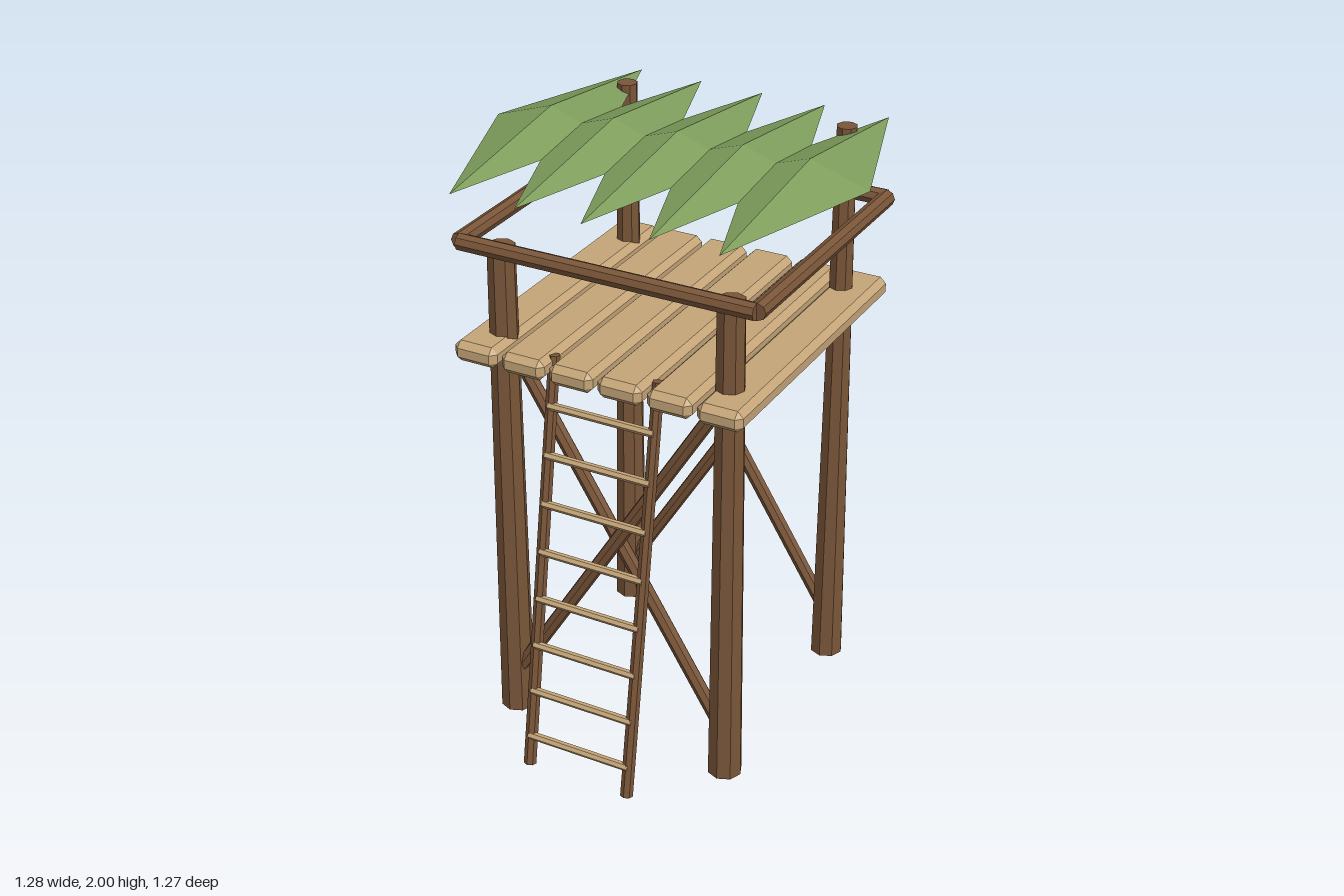
import * as THREE from 'three';
import { ConvexGeometry } from 'three/addons/geometries/ConvexGeometry.js';

const mat = (name, color, extra = {}) =>
  new THREE.MeshStandardMaterial({ name, color, flatShading: true, ...extra });

// Tapered pole between two points
function pole(name, a, b, r0, r1, sides, material) {
  const from = new THREE.Vector3(...a), to = new THREE.Vector3(...b);
  const dir = to.clone().sub(from);
  const mesh = new THREE.Mesh(new THREE.CylinderGeometry(r1, r0, dir.length(), sides), material);
  mesh.position.copy(from).add(to).multiplyScalar(0.5);
  mesh.quaternion.setFromUnitVectors(new THREE.Vector3(0, 1, 0), dir.normalize());
  mesh.name = name;
  return mesh;
}

// Box with every edge cut at 45 degrees
function chamferBox(w, h, d, c) {
  const pts = [];
  const x = w / 2, y = h / 2, z = d / 2;
  for (const i of [-1, 1]) for (const j of [-1, 1]) for (const k of [-1, 1]) {
    pts.push(
      new THREE.Vector3(i * x, j * (y - c), k * (z - c)),
      new THREE.Vector3(i * (x - c), j * y, k * (z - c)),
      new THREE.Vector3(i * (x - c), j * (y - c), k * z));
  }
  return new ConvexGeometry(pts);
}

// Folded diamond leaf: a shallow four-sided peak, open below
function leafGeometry() {
  const top = [0, 2, 0];
  const rim = [[0, 1.925, 0.583], [0.195, 1.935, 0], [0, 1.925, -0.583], [-0.195, 1.935, 0]];
  const verts = rim.flatMap((p, i) => [...top, ...p, ...rim[(i + 1) % 4]]);
  const geo = new THREE.BufferGeometry();
  geo.setAttribute('position', new THREE.Float32BufferAttribute(verts, 3));
  geo.computeVertexNormals();
  return geo;
}

export function createModel() {
  const model = new THREE.Group();
  model.name = 'watchtower';
  const wood = mat('dark wood', 0x7a5639);
  const plankWood = mat('pale wood', 0xc6a679);
  const leafGreen = mat('leaf green', 0x7f9f5d, { side: THREE.DoubleSide });

  // Posts: the back pair is taller and carries the roof
  for (const s of [-1, 1]) {
    model.add(pole('frontPost', [s * 0.392, 0, 0.342], [s * 0.392, 1.7, 0.342], 0.057, 0.045, 8, wood));
    model.add(pole('backPost', [s * 0.39, 0, -0.44], [s * 0.39, 1.957, -0.44], 0.056, 0.034, 8, wood));
  }

  // Crossed braces on the front and back
  for (const z of [0.342, -0.44]) for (const s of [-1, 1]) {
    model.add(pole('brace', [-s * 0.385, 0.135, z + s * 0.012], [s * 0.37, 1.355, z + s * 0.012], 0.024, 0.024, 7, wood));
  }

  // Deck planks
  const plank = chamferBox(0.152, 0.07, 1.06, 0.02);
  for (let i = 0; i < 6; i++) {
    const mesh = new THREE.Mesh(plank, plankWood);
    mesh.position.set((i - 2.5) * 0.168, 1.373, -0.05);
    mesh.name = 'deckPlank';
    model.add(mesh);
  }

  // Guard rails around the deck
  const y = 1.71;
  for (const z of [0.402, -0.512]) {
    model.add(pole('guardRail', [-0.502, y, z], [0.502, y, z], 0.028, 0.028, 8, wood));
  }
  for (const s of [-1, 1]) {
    model.add(pole('sideRail', [s * 0.504, y, 0.402], [s * 0.504, y, -0.512], 0.028, 0.028, 8, wood));
  }

  // Leaning ladder
  const ladder = new THREE.Group();
  ladder.name = 'ladder';
  const ladderZ = (h) => 0.615 - 0.157 * h;
  for (const s of [-1, 1]) {
    ladder.add(pole('ladderRail', [s * 0.18, 0.003, ladderZ(0)], [s * 0.18, 1.4, ladderZ(1.4)], 0.021, 0.019, 7, wood));
  }
  for (let i = 0; i < 8; i++) {
    const h = 0.11 + i * 0.1615, z = ladderZ(h) + 0.011;
    ladder.add(pole('rung', [-0.184, h, z], [0.184, h, z], 0.0135, 0.0135, 6, plankWood));
  }
  model.add(ladder);

  // Leaf roof
  const leaf = leafGeometry();
  for (let i = -2; i <= 2; i++) {
    const mesh = new THREE.Mesh(leaf, leafGreen);
    mesh.position.set(i * 0.2225, 0, -0.055);
    mesh.name = 'roofLeaf';
    model.add(mesh);
  }
  return model;
}
